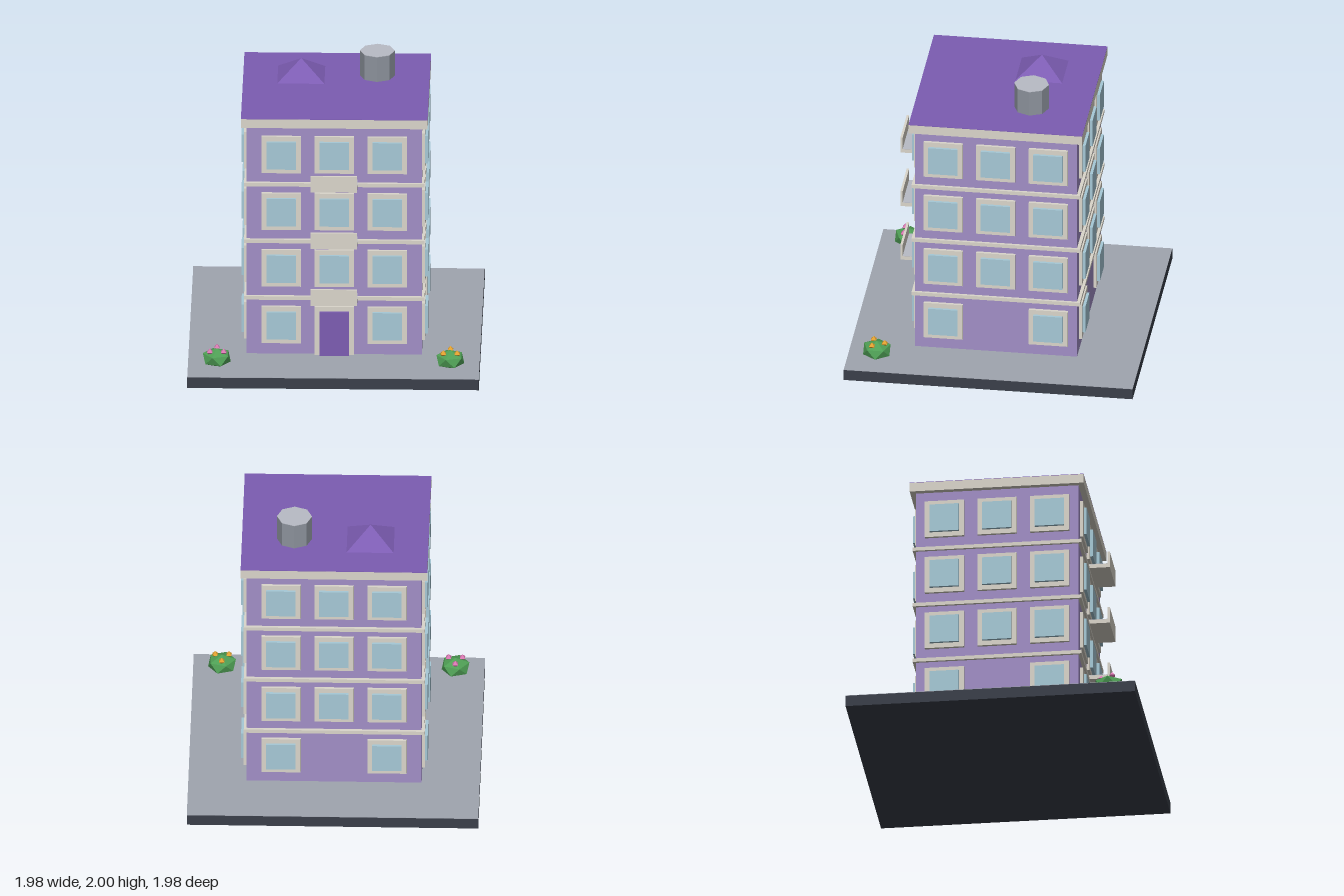
import * as THREE from 'three';

const mat = (color) => new THREE.MeshStandardMaterial({ color, flatShading: true });

export function createModel() {
  const root = new THREE.Group();
  root.name = 'apartmentBlock';

  const wall = mat(0xa18ec6), trim = mat(0xdad6cb), glass = mat(0xa6c9d7), purple = mat(0x7c5cb2);
  const dark = mat(0x3a3f4a), paving = mat(0xa0a5af), metal = mat(0x8d939d), pale = mat(0xb9bcc6);
  const leaf = mat(0x4f9f55), pink = mat(0xd678b0), gold = mat(0xe0a030);

  const add = (parent, name, geometry, material, x = 0, y = 0, z = 0) => {
    const mesh = new THREE.Mesh(geometry, material);
    mesh.name = name;
    mesh.position.set(x, y, z);
    parent.add(mesh);
    return mesh;
  };
  // Box given by its size, its bottom height and its centre in x and z
  const box = (parent, name, w, h, d, material, x, y, z) =>
    add(parent, name, new THREE.BoxGeometry(w, h, d), material, x, y + h / 2, z);
  // Box whose upper face is a thin sheet of another colour
  const SHEET = 0.003;
  const topped = (parent, name, w, h, d, side, top, x, y, z) => {
    box(parent, name, w, h - SHEET, d, side, x, y, z);
    box(parent, name + 'Top', w, SHEET, d, top, x, y + h - SHEET, z);
  };

  const GROUND = 0.08, W = 1.19, D = 1.11, STOREY = 0.416, ROOF = 1.817;

  // Ground slab, walls and overhanging flat roof
  topped(root, 'groundSlab', 1.98, GROUND, 1.98, dark, paving, 0, 0, 0);
  box(root, 'walls', W, 1.75 - GROUND, D, wall, 0, GROUND, 0);
  topped(root, 'roofSlab', 1.268, ROOF - 1.75, 1.19, trim, purple, 0, 1.75, 0);

  // Bands between the storeys
  for (let i = 1; i < 4; i++)
    box(root, 'storeyBand', W + 0.036, 0.026, D + 0.044, trim, 0, 0.066 + i * STOREY, 0);

  // Facades: each is a group whose local z = 0 is the wall surface
  const FRAME = 0.02, PANE = 0.039;
  const facades = [['front', 0, D / 2], ['right', 1, W / 2], ['back', 2, D / 2], ['left', 3, W / 2]];
  facades.forEach(([side, turns, distance]) => {
    const facade = new THREE.Group();
    facade.name = side + 'Facade';
    facade.rotation.y = turns * Math.PI / 2;
    facade.position.set(Math.sin(facade.rotation.y) * distance, 0, Math.cos(facade.rotation.y) * distance);
    root.add(facade);
    for (let floor = 0; floor < 4; floor++) {
      for (const x of [-0.36, 0, 0.36]) {
        if (floor === 0 && x === 0) continue;
        const y = 0.163 + floor * STOREY;
        box(facade, 'windowFrame', 0.268, 0.268, FRAME, trim, x, y, FRAME / 2);
        box(facade, 'windowPane', 0.2, 0.2, PANE, glass, x, y + 0.034, PANE / 2);
      }
    }
    if (side !== 'front') return;

    // Entrance
    box(facade, 'doorFrame', 0.268, 0.352, FRAME, trim, 0, GROUND, FRAME / 2);
    box(facade, 'door', 0.2, 0.319, PANE, purple, 0, GROUND, PANE / 2);

    // Balconies: floor plate with a front parapet
    for (let i = 1; i < 4; i++) {
      const y = 0.082 + i * STOREY;
      topped(facade, 'balconyFloor', 0.316, 0.03, 0.146, trim, pale, 0, y, 0.073);
      box(facade, 'balconyParapet', 0.316, 0.116, 0.016, trim, 0, y, 0.153);
    }
  });

  // Pyramid skylight
  const pyramid = new THREE.ConeGeometry(0.16 * Math.SQRT2, 0.123, 4).rotateY(Math.PI / 4);
  add(root, 'skylight', pyramid, purple, -0.24, ROOF + 0.0615, -0.2);

  // Eight-sided water tank
  const tankHeight = 2 - ROOF;
  add(root, 'waterTank', new THREE.CylinderGeometry(0.119, 0.119, tankHeight - SHEET, 8), metal,
    0.277, ROOF + (tankHeight - SHEET) / 2, -0.2);
  add(root, 'waterTankLid', new THREE.CylinderGeometry(0.119, 0.119, SHEET, 8), pale,
    0.277, 2 - SHEET / 2, -0.2);

  // Flowering bushes: flattened icosahedra standing on a corner
  const upright = Math.atan(2 / (1 + Math.sqrt(5)));
  for (const [x, petals] of [[-0.793, pink], [0.793, gold]]) {
    const bush = new THREE.Group();
    bush.name = 'floweringBush';
    bush.position.set(x, 0.145, 0.79);
    root.add(bush);
    const foliage = new THREE.IcosahedronGeometry(0.106, 0).rotateZ(upright).scale(1, 0.62, 1);
    add(bush, 'foliage', foliage, leaf);
    for (let i = 0; i < 3; i++) {
      const a = Math.PI + i * Math.PI * 2 / 3;
      const flower = new THREE.OctahedronGeometry(0.026, 0).rotateY(Math.PI / 4);
      add(bush, 'flower', flower, petals, Math.sin(a) * 0.054, 0.05, Math.cos(a) * 0.054);
    }
  }
  return root;
}
